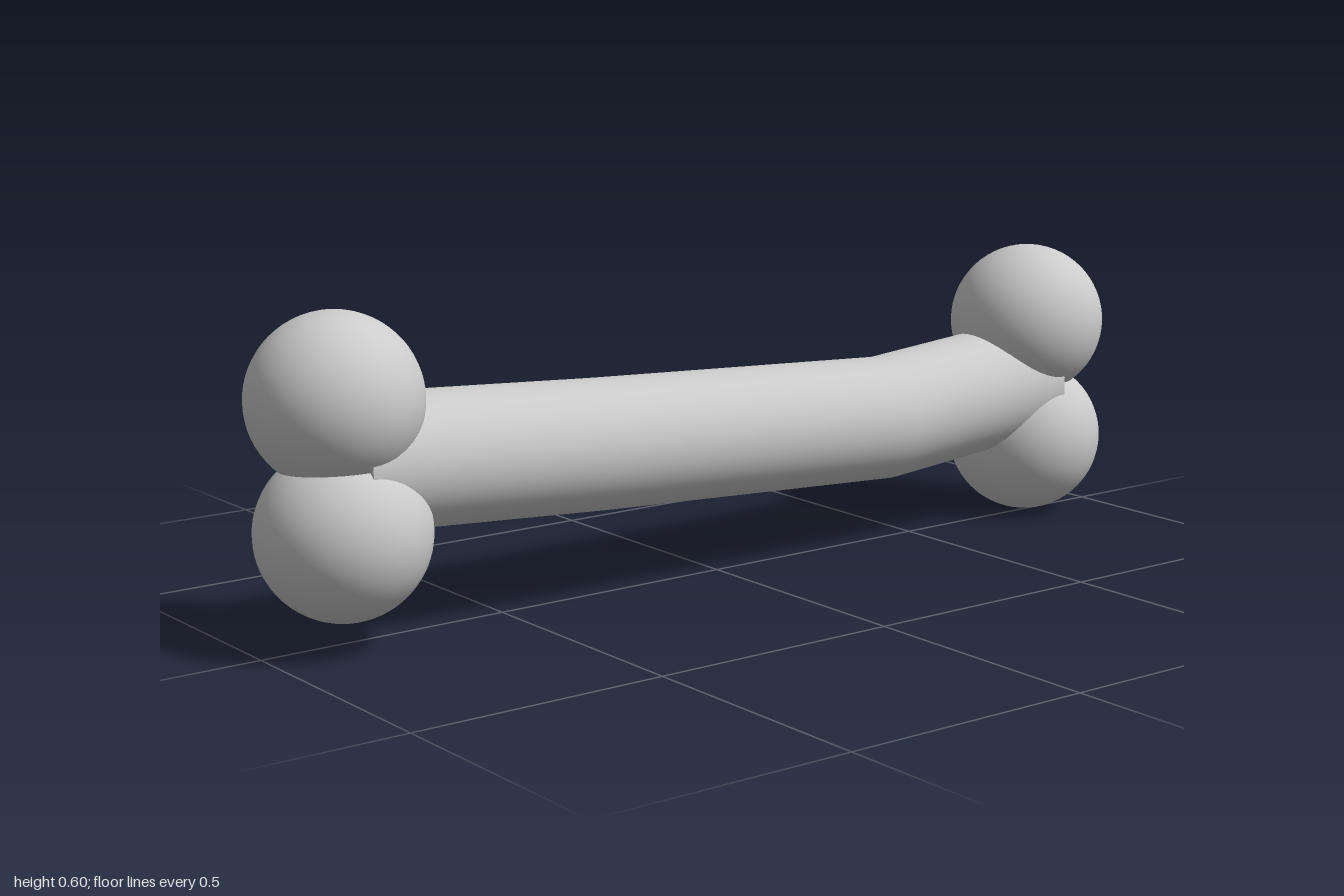
import * as THREE from 'three';

export function createModel() {
  const model = new THREE.Group();
  const material = new THREE.MeshStandardMaterial({ color: 0xcccccc });

  // Shaft: a cylinder whose four rings follow a gently bent centre line
  const path = [
    [-0.84, 0.329, 0.005],
    [-0.29, 0.292, 0.005],
    [0.44, 0.245, -0.025],
    [0.84, 0.279, -0.025],
  ];
  const shaftGeometry = new THREE.CylinderGeometry(0.125, 0.125, 3, 64, 3).rotateZ(-Math.PI / 2);
  const pos = shaftGeometry.attributes.position;
  for (let i = 0; i < pos.count; i++) {
    const [x, y, z] = path[Math.round(pos.getX(i) + 1.5)];
    pos.setXYZ(i, x, y + pos.getY(i), z + pos.getZ(i));
  }
  const shaft = new THREE.Mesh(shaftGeometry, material);
  shaft.name = 'shaft';
  model.add(shaft);

  // Knobs: two overlapping spheres at each end
  const knobGeometry = new THREE.SphereGeometry(0.159, 48, 32);
  const knobs = {
    leftUpperKnob: [0.841, 0.407, -0.021],
    leftLowerKnob: [0.841, 0.16, -0.021],
    rightUpperKnob: [-0.841, 0.444, 0.003],
    rightLowerKnob: [-0.841, 0.209, 0.021],
  };
  for (const [name, position] of Object.entries(knobs)) {
    const knob = new THREE.Mesh(knobGeometry, material);
    knob.name = name;
    knob.position.set(...position);
    model.add(knob);
  }

  return model;
}
